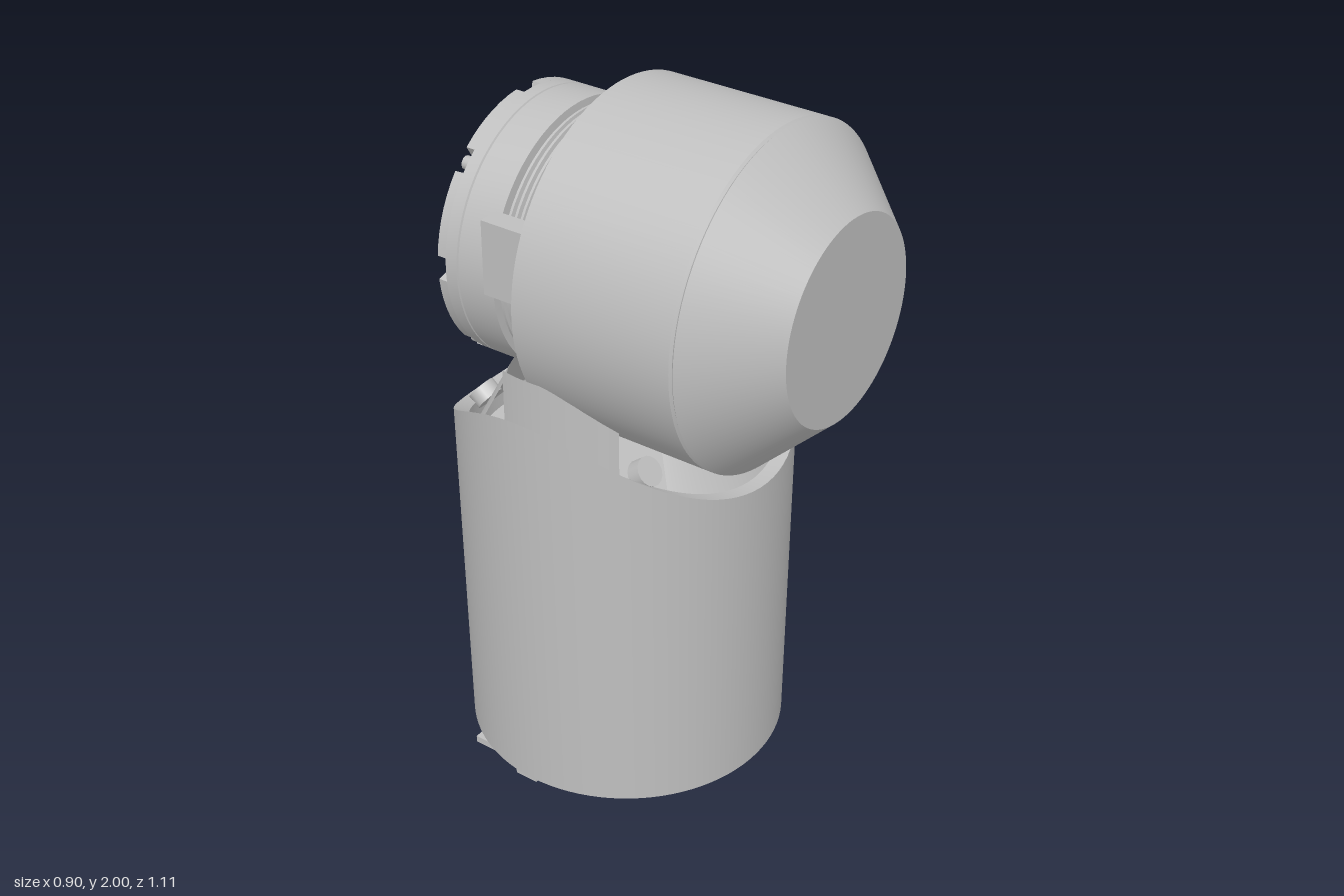
import * as THREE from 'three';
import { toCreasedNormals } from 'three/addons/utils/BufferGeometryUtils.js';

const metal = new THREE.MeshStandardMaterial({ color: 0xbfbfbf });
metal.name = 'grey metal';
const thinMetal = metal;
thinMetal.side = THREE.DoubleSide;

const HEAD_Y = 1.55, AXIS_Z = -0.1;

function add(parent, name, geometry, x = 0, y = 0, z = 0) {
  const mesh = new THREE.Mesh(geometry, metal);
  mesh.name = name;
  mesh.position.set(x, y, z);
  parent.add(mesh);
  return mesh;
}

function lathe(profile, segments = 72, rule) {
  const g = new THREE.LatheGeometry(profile.map(([r, y]) => new THREE.Vector2(r, y)), segments);
  if (rule) {
    const p = g.attributes.position;
    for (let i = 0; i < p.count; i++) p.setY(i, rule(p.getX(i), p.getY(i)));
  }
  return toCreasedNormals(g, 0.45);
}

// Bolt ring with edge notches and drilled holes, lying from y = 0 up to depth
function boltRing(depth) {
  const shape = new THREE.Shape();
  const n = 8, half = 0.09, step = Math.PI * 2 / n;
  const point = (r, a, first) => shape[first ? 'moveTo' : 'lineTo'](r * Math.cos(a), r * Math.sin(a));
  for (let i = 0; i < n; i++) {
    const a = i * step;
    point(0.36, a - half, i === 0);
    point(0.325, a - half * 0.8);
    point(0.325, a + half * 0.8);
    for (let k = 0; k < 7; k++) point(0.36, a + half + (step - 2 * half) * k / 7);
  }
  const hole = (x, y, r) => {
    const path = new THREE.Path();
    path.absarc(x, y, r, 0, Math.PI * 2, true);
    shape.holes.push(path);
  };
  hole(0, 0, 0.24);
  for (let i = 0; i < 24; i++) {
    const a = (i + 0.5) * Math.PI / 12;
    hole(0.3 * Math.cos(a), 0.3 * Math.sin(a), 0.013);
  }
  const g = new THREE.ExtrudeGeometry(shape, { depth, bevelEnabled: false, curveSegments: 20 });
  g.rotateX(Math.PI / 2).translate(0, depth, 0);
  return toCreasedNormals(g, 0.4);
}

// Drive unit: output face at y = 0 facing down, body running upward
function driveUnit(name, length) {
  const unit = new THREE.Group();
  unit.name = name;
  const profile = [
    [0, 0.13], [0.05, 0.13], [0.05, 0.035], [0.205, 0.035], [0.205, 0.055], [0.235, 0.055],
    [0.235, 0.025], [0.36, 0.025], [0.36, 0.06], [0.355, 0.063], [0.36, 0.066], [0.36, 0.175],
  ];
  for (let i = 0; i < 7; i++) {
    const y = 0.178 + i * 0.018;
    profile.push([0.325, y], [0.345, y + 0.005], [0.345, y + 0.012], [0.325, y + 0.017]);
  }
  profile.push([0.34, 0.31], [0.34, length], [0, length]);
  add(unit, 'ribbedBody', lathe(profile));
  add(unit, 'boltRing', boltRing(0.025));
  // Raised screw heads in every other notch
  for (let i = 0; i < 4; i++) {
    const a = Math.PI / 4 + i * Math.PI / 2;
    add(unit, 'screwHead', new THREE.CylinderGeometry(0.018, 0.018, 0.02, 12),
      0.342 * Math.cos(a), 0.016, 0.342 * Math.sin(a));
  }
  return unit;
}

export function createModel() {
  const model = new THREE.Group();
  model.name = 'jointModule';

  // Lower tube with a saddle-shaped rim
  const saddle = (x, y) => (y > 0.5 ? HEAD_Y - Math.sqrt(0.54 ** 2 - x * x) : y);
  const tube = lathe([[0.41, 0.1], [0.44, 0.1], [0.45, 1], [0.41, 1], [0.41, 0.1]], 96, saddle);
  add(model, 'lowerTube', tube, 0, 0, AXIS_Z);
  add(model, 'tubeFloor', lathe([[0.34, 0.125], [0.385, 0.125], [0.385, 0.11], [0.415, 0.11]]), 0, 0, AXIS_Z);

  const lower = driveUnit('lowerDrive', 0.89);
  lower.position.set(0, 0.085, AXIS_Z);
  model.add(lower);
  add(model, 'tubeDeck', lathe([[0.415, 0.94], [0.37, 0.94], [0.37, 0.97], [0, 0.97]]), 0, 0, AXIS_Z);

  // Head shell, open at the back and tapered at the front
  const shell = lathe([
    [0, 0.2], [0.405, 0.2], [0.405, -0.1], [0.45, -0.1], [0.45, 0.358],
    [0.444, 0.364], [0.45, 0.37], [0.27, 0.56], [0, 0.56],
  ], 96);
  shell.rotateX(Math.PI / 2);
  add(model, 'headShell', shell, 0, HEAD_Y, 0);

  const upper = driveUnit('headDrive', 0.58);
  upper.rotation.x = Math.PI / 2;
  upper.position.set(0, HEAD_Y, -0.405);
  model.add(upper);

  // Side rails between the drive and the shell
  for (const s of [-1, 1]) {
    add(model, 'sideRail', new THREE.BoxGeometry(0.06, 0.2, 0.36), s * 0.37, 1.65, -0.045);
  }

  // Sloping tongues and side bracket joining tube and head
  for (const start of [-0.65, Math.PI - 0.65]) {
    add(model, 'neckTongue',
      new THREE.CylinderGeometry(0.31, 0.41, 0.19, 16, 1, true, start, 1.3), 0, 1.075, AXIS_Z);
  }
  add(model, 'sideBracket',
    new THREE.CylinderGeometry(0.405, 0.405, 0.45, 16, 1, true, Math.PI * 1.5 - 0.2, 0.8), 0, 1.125, AXIS_Z);

  // Neck bolts
  for (const [x, y, z] of [[-0.27, 1.11, 0.16], [0.13, 1.05, 0.27], [-0.13, 1.05, -0.47], [0.13, 1.05, -0.47]]) {
    const bolt = add(model, 'neckBolt', new THREE.CylinderGeometry(0.04, 0.04, 0.04, 16), x, y, z);
    bolt.rotation.x = z > AXIS_Z ? 0.9 : -0.9;
  }

  // Plug under the base
  add(model, 'plugPlate', new THREE.BoxGeometry(0.18, 0.02, 0.2), -0.29, 0.075, -0.25);
  add(model, 'plug', new THREE.BoxGeometry(0.1, 0.07, 0.07), -0.31, 0.035, -0.19);

  return model;
}
